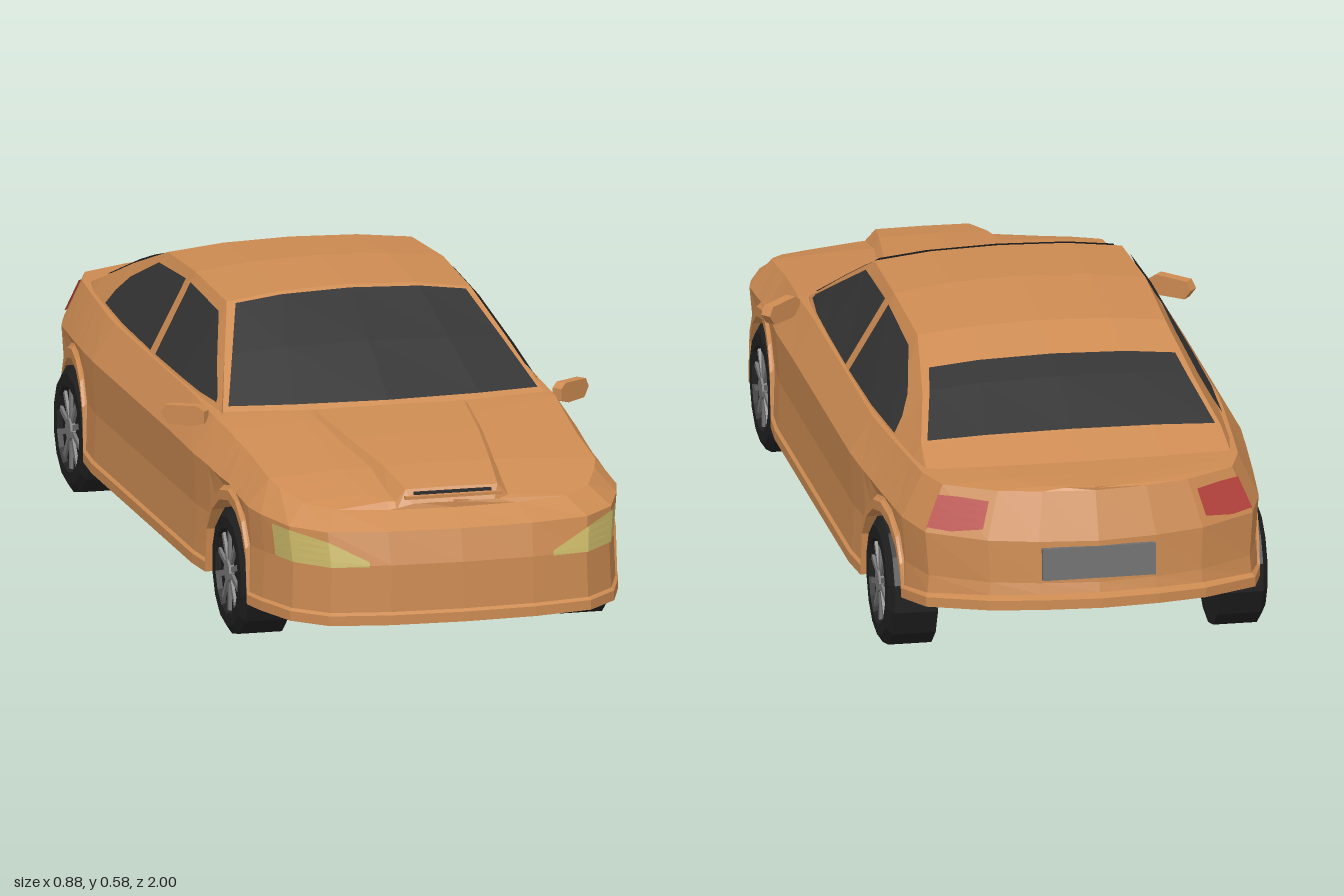
import * as THREE from 'three';

const mat = (color, side = THREE.FrontSide) =>
  new THREE.MeshStandardMaterial({ color, side, flatShading: true });
const paint = mat(0xcd8b52), paint2 = mat(0xcd8b52, THREE.DoubleSide);
const glass = mat(0x343434, THREE.DoubleSide), lamp = mat(0xcbb968, THREE.DoubleSide);
const red = mat(0xb8433d, THREE.DoubleSide), grey = mat(0x707070, THREE.DoubleSide);
const rubber = mat(0x202020), dark = mat(0x2c2c2c), alloy = mat(0x777777);

// Row of numbers from a table of [key, ...values], interpolated at key k (keys descend)
function at(table, k) {
  let i = 0;
  while (i < table.length - 2 && k < table[i + 1][0]) i++;
  const a = table[i], b = table[i + 1];
  const t = Math.min(1, Math.max(0, (a[0] - k) / (a[0] - b[0])));
  return a.slice(1).map((v, j) => v + (b[j + 1] - v) * t);
}

// Surface through a grid of [x, y, z] points
function surface(name, grid, material) {
  const n = grid[0].length, index = [];
  for (let r = 0; r < grid.length - 1; r++)
    for (let c = 0; c < n - 1; c++) {
      const a = r * n + c, b = a + n;
      index.push(a, b, a + 1, b, b + 1, a + 1);
    }
  const g = new THREE.BufferGeometry();
  g.setAttribute('position', new THREE.Float32BufferAttribute(grid.flat(2), 3));
  g.setIndex(index);
  const flat = g.toNonIndexed();
  flat.computeVertexNormals();
  const mesh = new THREE.Mesh(flat, material);
  mesh.name = name;
  return mesh;
}

const flip = ([x, y, z]) => [-x, y, z];
const mirrored = half => [...half, ...half.slice(0, -1).reverse().map(flip)];
const mix = (a, b, t) => a.map((v, i) => v + (b[i] - v) * t);

// ---- Lower body ----
const AXLES = [0.6, -0.63];
const WIDTH = [[0.8, 0.37], [0.745, 0.383], [0.6, 0.384], [0.46, 0.393], [0.38, 0.4],
  [-0.4, 0.4], [-0.49, 0.393], [-0.63, 0.38], [-0.77, 0.365]];
const FLOOR = [[1, 0.095], [-0.48, 0.095], [-0.77, 0.14], [-1, 0.17]];
// height of shoulder, belt edge and centreline
const TOP = [[1, 0.28, 0.31, 0.325], [0.85, 0.288, 0.33, 0.345], [0.75, 0.295, 0.35, 0.362],
  [0.42, 0.32, 0.388, 0.398], [0.3, 0.325, 0.4, 0.4], [-0.4, 0.325, 0.4, 0.4],
  [-0.75, 0.31, 0.4, 0.403], [-1, 0.3, 0.395, 0.402]];
const NOSE = [1, 1, 0.965, 0.955, 0.89, 0.66];   // how far each level reaches forward
const TAIL = [1, 1, 0.9, 0.88, 0.86, 0.72];      // and backward

// Outline of the car in plan, front centre to rear centre: [x, z, height of bottom edge]
function planOutline() {
  const pts = [[0, 0.995], [0.15, 0.988], [0.27, 0.965], [0.335, 0.9], [0.37, 0.8]];
  const arch = zc => {
    for (let k = 0; k <= 8; k++) {
      const a = k * Math.PI / 8, z = zc + 0.143 * Math.cos(a);
      pts.push([at(WIDTH, z)[0], z, k % 8 ? 0.13 + 0.145 * Math.sin(a) : 0]);
    }
  };
  arch(AXLES[0]);
  for (const z of [0.38, 0.2, -0.1, -0.4]) pts.push([0.4, z]);
  arch(AXLES[1]);
  pts.push([0.355, -0.81], [0.335, -0.88], [0.22, -0.957], [0.12, -0.985], [0, -1]);
  return pts;
}

// Wall of one column of the outline, bottom to belt
function wallColumn([x, z, arch = 0]) {
  const floor = at(FLOOR, z)[0], yb = Math.max(floor, arch);
  const [shoulder, belt] = at(TOP, z);
  const ys = [yb, yb + 0.02, yb + 0.025, Math.max(0.215, yb + 0.03), Math.max(shoulder, yb + 0.035), belt];
  const xs = [1, 1, 0.985, 0.975, 0.995, 0.88];
  return ys.map((y, l) => {
    const reach = (z > 0 ? NOSE : TAIL)[l], e = Math.sign(z) * 0.75;
    return [x * xs[l], y, Math.abs(z) > 0.75 ? e + (z - e) * reach : z];
  });
}

const outline = planOutline(), walls = outline.map(wallColumn);

function bodyRing(p, i) {
  const [x, z] = p, w = walls[i], floor = at(FLOOR, z)[0];
  const xi = Math.min(0.27, x * 0.75), top = w[5], yc = at(TOP, z)[2];
  return mirrored([[0, floor, z], [xi, floor, z], [xi, w[0][1], z], ...w,
    [top[0] * 0.55, top[1] + (yc - top[1]) * 0.75, top[2]], [0, yc, top[2]]]);
}

// Point on the body wall at column s (may be fractional) and height y
function onWall(s, y, out = 0.004) {
  const i = Math.min(Math.floor(s), walls.length - 2);
  const col = walls[i].map((p, l) => mix(p, walls[i + 1][l], s - i));
  let l = 1;
  while (l < col.length - 2 && y > col[l + 1][1]) l++;
  const p = mix(col[l], col[l + 1], (y - col[l][1]) / (col[l + 1][1] - col[l][1]));
  return [p[0] + out * 0.6, y + out * 0.3, p[2] + Math.sign(p[2]) * out];
}

// Lamp lying on the wall; rows are [column, low y, high y]
const wallPanel = rows => rows.map(([s, lo, hi]) =>
  [0, 0.25, 0.5, 0.75, 1].map(t => onWall(s, lo + (hi - lo) * t)));

// ---- Cabin: [z, base x, roof edge x, roof edge y, centre y, bow] ----
const CABIN = [[0.41, 0.335, 0.332, 0.398, 0.4, -0.4], [0.25, 0.352, 0.293, 0.478, 0.492, -0.2],
  [0.09, 0.354, 0.252, 0.556, 0.575, 0.1], [-0.13, 0.355, 0.256, 0.564, 0.583, 0],
  [-0.36, 0.353, 0.252, 0.55, 0.566, 0], [-0.54, 0.343, 0.276, 0.487, 0.503, 0.05],
  [-0.68, 0.332, 0.305, 0.428, 0.438, 0.1], [-0.79, 0.315, 0.31, 0.39, 0.395, 0.1]];

const bowed = (x, y, z, bow) => [x, y, z + bow * x * x];
const cabinRing = ([z, xb, xt, yt, yc, bow]) => mirrored([
  bowed(xb, 0.385, z, bow), bowed(xt, yt, z, bow),
  bowed(xt * 0.55, yc - (yc - yt) * 0.25, z, bow), [0, yc, z]]);

// Glass across the car, following the roof line; rows are [z, share of width]
const crossGlass = rows => rows.map(([z, w]) => {
  const [, xt, yt, yc, bow] = at(CABIN, z);
  return [-1, -0.6, 0, 0.6, 1].map(u => {
    const v = Math.abs(u) * w, e = 0.55, knee = yc - (yc - yt) * 0.25;
    const y = v < e ? yc + (knee - yc) * v / e : knee + (yt - knee) * (v - e) / (1 - e);
    return bowed(u * w * xt, y + 0.005, z + (z > 0 ? 0.003 : -0.003), bow);
  });
});

// Glass on the cabin flank; rows are [z at sill, z at top, drop below the roof edge]
const sideGlass = rows => rows.map(([zb, zt, drop]) => [[zb, 0], [zt, 1]].map(([z, top]) => {
  const [xb, xt, yt, , bow] = at(CABIN, z);
  const y = top ? Math.max(0.408, yt - drop) : 0.406;
  const x = xb + (xt - xb) * (y - 0.385) / (yt - 0.385);
  return bowed(x + 0.005, y + 0.002, z, bow);
}));

function wheel() {
  const g = new THREE.Group();
  const profile = [[0.001, 0], [0.13, 0], [0.13, 0.088], [0.112, 0.1], [0.088, 0.1], [0.082, 0.09], [0.001, 0.09]];
  const tyre = new THREE.Mesh(new THREE.LatheGeometry(
    profile.map(p => new THREE.Vector2(...p)), 14, Math.PI / 14), rubber);
  tyre.name = 'tyre';
  g.add(tyre);
  for (let i = 0; i < 10; i++) {
    const a = i * Math.PI / 5, spoke = new THREE.Mesh(new THREE.BoxGeometry(0.062, 0.008, 0.011), alloy);
    spoke.position.set(0.05 * Math.cos(a), 0.092, -0.05 * Math.sin(a));
    spoke.rotation.y = a;
    spoke.name = 'spoke';
    g.add(spoke);
  }
  const hub = new THREE.Mesh(new THREE.CylinderGeometry(0.022, 0.027, 0.012, 10), alloy);
  hub.position.y = 0.094;
  hub.name = 'hub';
  g.add(hub);
  return g;
}

export function createModel() {
  const car = new THREE.Group();
  car.name = 'car';
  car.add(surface('body', outline.map(bodyRing), paint));
  car.add(surface('cabin', CABIN.map(cabinRing), paint));
  car.add(surface('windshield', crossGlass([[0.4, 0.97], [0.25, 0.95], [0.105, 0.93]]), glass));
  car.add(surface('rearWindow', crossGlass([[-0.47, 0.94], [-0.54, 0.95], [-0.68, 0.96]]), glass));

  // Raised hood scoop with its lip
  const scoop = [[0.91, 0.085, 0.322], [0.895, 0.095, 0.349], [0.78, 0.11, 0.371], [0.6, 0.135, 0.388], [0.41, 0.155, 0.402]];
  car.add(surface('hoodScoop', scoop.map(([z, w, y]) =>
    mirrored([[w + 0.03, Math.min(y, at(TOP, z)[2] - 0.022), z], [w, y, z], [0, y + 0.001, z]])), paint2));
  const lip = new THREE.Mesh(new THREE.BoxGeometry(0.2, 0.006, 0.012), paint);
  lip.position.set(0, 0.334, 0.905);
  lip.name = 'scoopLip';
  const slot = new THREE.Mesh(new THREE.BoxGeometry(0.16, 0.006, 0.012), dark);
  slot.position.set(0, 0.341, 0.897);
  slot.name = 'scoopSlot';
  car.add(lip, slot);

  // Number plate
  const plate = new THREE.Mesh(new THREE.BoxGeometry(0.23, 0.065, 0.012), grey);
  plate.position.set(0, 0.257, -0.966);
  plate.rotation.x = 0.06;
  plate.name = 'rearPlate';
  car.add(plate);

  // Parts found on both sides
  const tail = outline.length - 1;
  const panels = [
    ['frontSideWindow', sideGlass([[0.36, 0.35, 0.012], [0.25, 0.25, 0.016], [0.09, 0.09, 0.02], [-0.1, -0.115, 0.018]]), glass],
    ['rearSideWindow', sideGlass([[-0.135, -0.15, 0.018], [-0.36, -0.36, 0.022], [-0.5, -0.49, 0.035], [-0.545, -0.53, 0.055]]), glass],
    ['headlight', wallPanel([[1.35, 0.212, 0.222], [2, 0.212, 0.262], [3, 0.214, 0.278], [3.6, 0.216, 0.28]]), lamp],
    ['tailLight', wallPanel([[tail - 3, 0.315, 0.378], [tail - 2.6, 0.312, 0.378], [tail - 2.1, 0.322, 0.375]]), red]
  ];
  for (const side of [1, -1]) {
    const tag = side > 0 ? 'left' : 'right';
    for (const [name, grid, material] of panels)
      car.add(surface(`${tag} ${name}`, side > 0 ? grid : grid.map(r => r.map(flip)), material));

    // Door mirror on a short stalk
    const housing = new THREE.Shape([[-0.045, -0.012], [-0.02, -0.02], [0.035, -0.02], [0.05, 0], [0.04, 0.018], [-0.03, 0.022], [-0.045, 0.012]]
      .map(([x, y]) => new THREE.Vector2(x * side, y)));
    const mirror = new THREE.Mesh(new THREE.ExtrudeGeometry(housing, { depth: 0.022, bevelEnabled: false }), paint);
    mirror.position.set(side * 0.39, 0.387, 0.315);
    mirror.rotation.y = side * 0.7;
    mirror.name = `${tag} mirror`;
    car.add(mirror);

    for (const z of AXLES) {
      const w = wheel();
      w.name = `${tag} ${z > 0 ? 'front' : 'rear'}Wheel`;
      w.rotation.z = -side * Math.PI / 2;
      w.position.set(side * 0.287, 0.13, z);
      car.add(w);
    }
  }
  return car;
}
